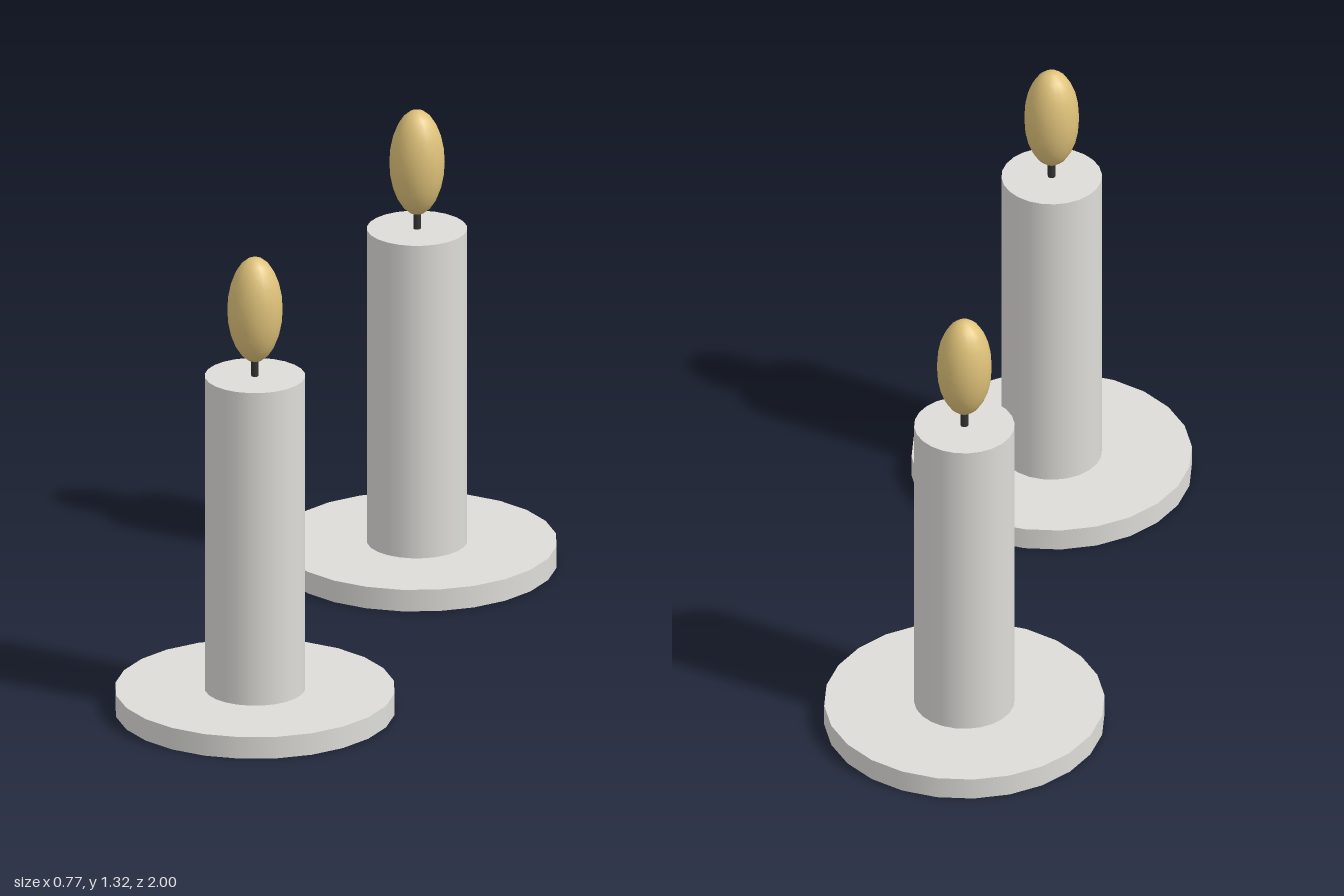
import * as THREE from 'three';

const material = (name, color) => {
  const m = new THREE.MeshStandardMaterial({ color });
  m.name = name;
  return m;
};

export function createModel() {
  const wax = material('pale wax', 0xdddcd8);
  const char = material('charred wick', 0x333331);
  const glow = material('golden flame', 0xdfc27a);

  // Upright cylinder spanning two heights
  const column = (name, radius, y0, y1, sides, mat) => {
    const mesh = new THREE.Mesh(new THREE.CylinderGeometry(radius, radius, y1 - y0, sides), mat);
    mesh.name = name;
    mesh.position.y = (y0 + y1) / 2;
    return mesh;
  };

  const createCandle = (name, z) => {
    const candle = new THREE.Group();
    candle.name = name;
    candle.position.z = z;

    // Dish, wax body and wick
    candle.add(
      column('dish', 0.385, 0, 0.063, 24, wax),
      column('candleBody', 0.138, 0.063, 0.978, 24, wax),
      column('wick', 0.011, 0.978, 1.04, 8, char),
    );

    // Flame: a sphere stretched upward
    const flame = new THREE.Mesh(new THREE.SphereGeometry(1, 16, 12), glow);
    flame.name = 'flame';
    flame.scale.set(0.076, 0.152, 0.076);
    flame.position.y = 1.172;
    candle.add(flame);
    return candle;
  };

  const model = new THREE.Group();
  model.name = 'candlePair';
  model.add(createCandle('frontCandle', 0.615), createCandle('backCandle', -0.615));
  return model;
}
